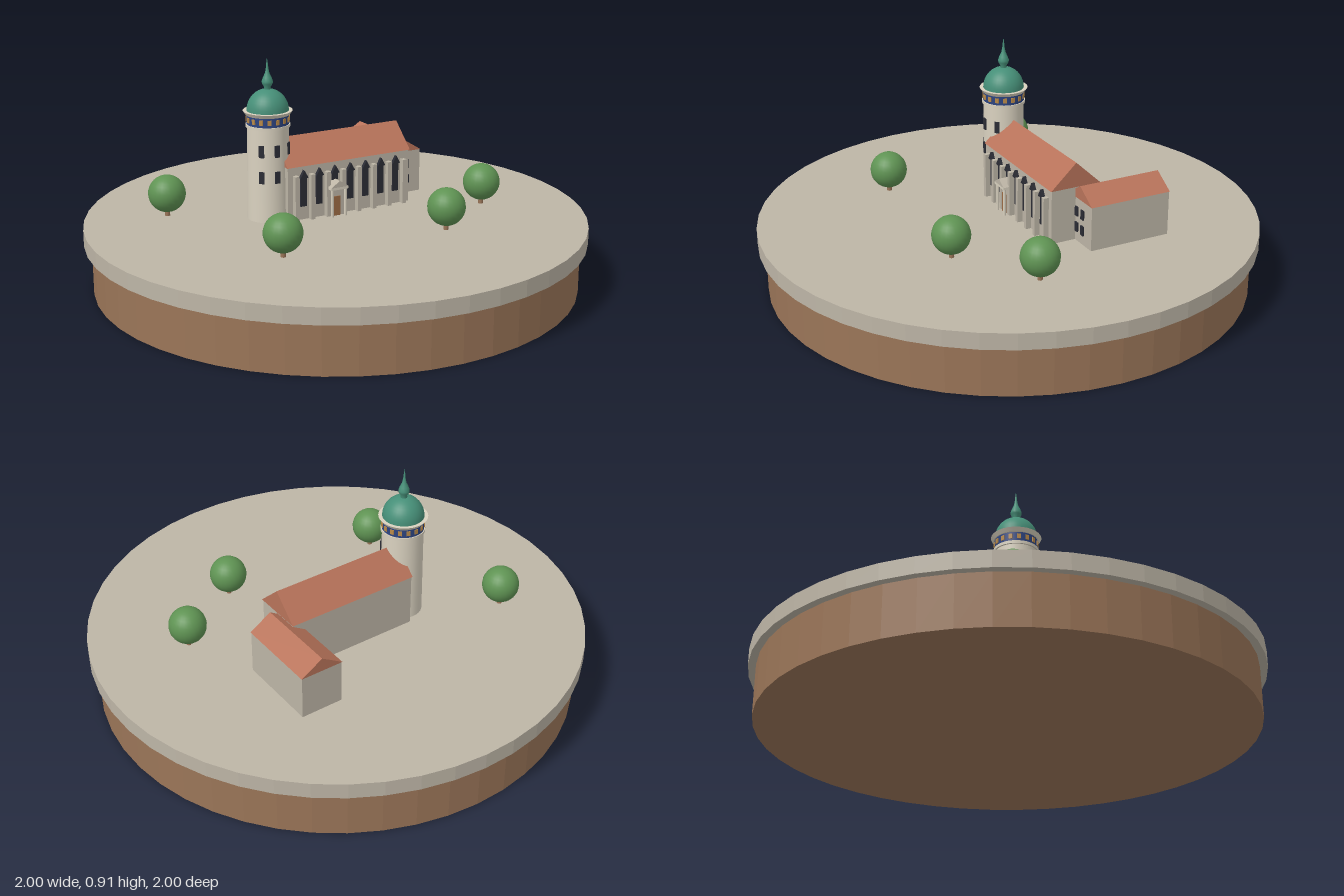
import * as THREE from 'three';

const mat = (name, color) => Object.assign(new THREE.MeshStandardMaterial({ color }), { name });
const flat = (g) => { const n = g.toNonIndexed(); n.computeVertexNormals(); return n; };

export function createModel() {
  const earth = mat('earth', 0x9a7558);
  const stone = mat('stone', 0xbdb5a6);
  const cream = mat('cream plaster', 0xd9d1bf);
  const tile = mat('terracotta tile', 0xb8735a);
  const copper = mat('green copper', 0x468f78);
  const dark = mat('dark glass', 0x2b2c35);
  const blue = mat('blue band', 0x2d4480);
  const gold = mat('gold', 0xb98a4a);
  const leaf = mat('foliage', 0x5f9353);
  const wood = mat('door wood', 0x9c6b45);

  const model = new THREE.Group();
  model.name = 'churchOnDisc';
  const G = 0.265; // ground level

  const add = (parent, name, geo, material, x = 0, y = 0, z = 0) => {
    const m = new THREE.Mesh(geo, material);
    m.name = name;
    m.position.set(x, y, z);
    parent.add(m);
    return m;
  };
  const box = (parent, name, material, w, h, d, x, y0, z) =>
    add(parent, name, new THREE.BoxGeometry(w, h, d), material, x, y0 + h / 2, z);
  // Triangular prism with its ridge along z
  const prism = (w, h, d) => {
    const s = new THREE.Shape([[-w / 2, 0], [w / 2, 0], [0, h]].map((p) => new THREE.Vector2(...p)));
    return new THREE.ExtrudeGeometry(s, { depth: d, bevelEnabled: false }).translate(0, 0, -d / 2);
  };

  // Round base
  add(model, 'earthBase', flat(new THREE.CylinderGeometry(0.97, 0.97, 0.2, 48)), earth, 0, 0.1, 0);
  add(model, 'groundPlate', flat(new THREE.CylinderGeometry(1, 1, 0.065, 48)), stone, 0, 0.2325, 0);

  // Trees
  for (const [x, z] of [[-0.45, -0.5], [-0.51, 0.18], [0.13, 0.45], [0.495, 0.36]]) {
    add(model, 'treeCrown', new THREE.SphereGeometry(0.075, 24, 16), leaf, x, 0.358, z);
    add(model, 'treeTrunk', new THREE.CylinderGeometry(0.01, 0.01, 0.04, 8), earth, x, 0.28, z);
  }

  // Church body, turned as one group
  const church = new THREE.Group();
  church.name = 'church';
  church.position.set(0.1, 0, -0.08);
  church.rotation.y = -0.345;
  model.add(church);

  // Nave and wing
  box(church, 'naveWalls', stone, 0.56, 0.22, 0.205, 0, G, 0);
  add(church, 'naveRoof', prism(0.214, 0.1, 0.566), tile, 0, 0.484, 0).rotation.y = Math.PI / 2;
  box(church, 'wingWalls', stone, 0.175, 0.18, 0.342, 0.315, G, -0.173);
  add(church, 'wingRoof', prism(0.18, 0.056, 0.346), tile, 0.315, 0.444, -0.173);
  for (const x of [0.294, 0.337]) {
    for (const y of [0.305, 0.37]) box(church, 'wingWindow', dark, 0.02, 0.038, 0.008, x, y, 0);
  }

  // Facade bays: pointed windows between buttresses, the third bay holds the portal
  const bay = 0.071, front = 0.1025;
  for (let i = 0; i < 8; i++) {
    box(church, 'buttress', stone, 0.018, 0.185, 0.022, (i - 3.5) * bay, G, front + 0.011);
  }
  for (let i = 0; i < 7; i++) {
    const x = (i - 3) * bay, low = i === 2 ? 0.41 : 0.32;
    box(church, 'naveWindow', dark, 0.027, 0.44 - low, 0.008, x, low, front + 0.003);
    add(church, 'windowPoint', prism(0.036, 0.032, 0.014), dark, x, 0.438, front + 0.007);
  }

  // Portal with columns and small gable
  const px = -bay;
  box(church, 'portalBlock', stone, 0.06, 0.115, 0.02, px, G, front + 0.01);
  box(church, 'door', wood, 0.032, 0.08, 0.006, px, G, front + 0.021);
  for (const s of [-1, 1]) {
    add(church, 'portalColumn', new THREE.CylinderGeometry(0.006, 0.006, 0.115, 10), cream,
      px + s * 0.03, G + 0.0575, front + 0.037);
  }
  box(church, 'portalLintel', cream, 0.078, 0.01, 0.046, px, 0.378, front + 0.023);
  add(church, 'portalGable', prism(0.08, 0.026, 0.046), stone, px, 0.388, front + 0.023);

  // Round tower
  const tower = new THREE.Group();
  tower.name = 'tower';
  tower.position.set(-0.197, 0, -0.182);
  model.add(tower);
  const drum = (name, r0, r1, y0, y1, material) =>
    add(tower, name, new THREE.CylinderGeometry(r1, r0, y1 - y0, 32), material, 0, (y0 + y1) / 2, 0);
  drum('towerShaft', 0.086, 0.082, G, 0.64, cream);
  drum('lowerCornice', 0.088, 0.088, 0.638, 0.65, cream);
  drum('blueBand', 0.084, 0.084, 0.65, 0.69, blue);
  drum('upperCornice', 0.088, 0.098, 0.688, 0.703, cream);
  const onTower = (name, material, deg, r, w, h, y) => {
    const a = THREE.MathUtils.degToRad(deg);
    box(tower, name, material, w, h, 0.008, Math.sin(a) * r, y, Math.cos(a) * r).rotation.y = a;
  };
  for (let i = 0; i < 16; i++) onTower('bandPanel', gold, i * 22.5 - 20, 0.0825, 0.015, 0.02, 0.66);
  for (const deg of [-65, -22, 25]) {
    for (const y of [0.425, 0.53]) onTower('towerWindow', dark, deg, 0.083, 0.021, 0.048, y);
  }

  // Copper dome, then bulb and spire
  const dome = [];
  for (let i = 0; i <= 10; i++) {
    const a = (i / 10) * Math.PI / 2;
    dome.push(new THREE.Vector2(0.083 * Math.cos(a), 0.703 + 0.085 * Math.sin(a)));
  }
  add(tower, 'dome', new THREE.LatheGeometry(dome, 32), copper);
  const spire = [[0.014, 0.78], [0.013, 0.795], [0.021, 0.808], [0.022, 0.818], [0.017, 0.833],
    [0.009, 0.85], [0.005, 0.87], [0.003, 0.89], [0, 0.912]].map((p) => new THREE.Vector2(...p));
  add(tower, 'spire', new THREE.LatheGeometry(spire, 16), copper);

  return model;
}
